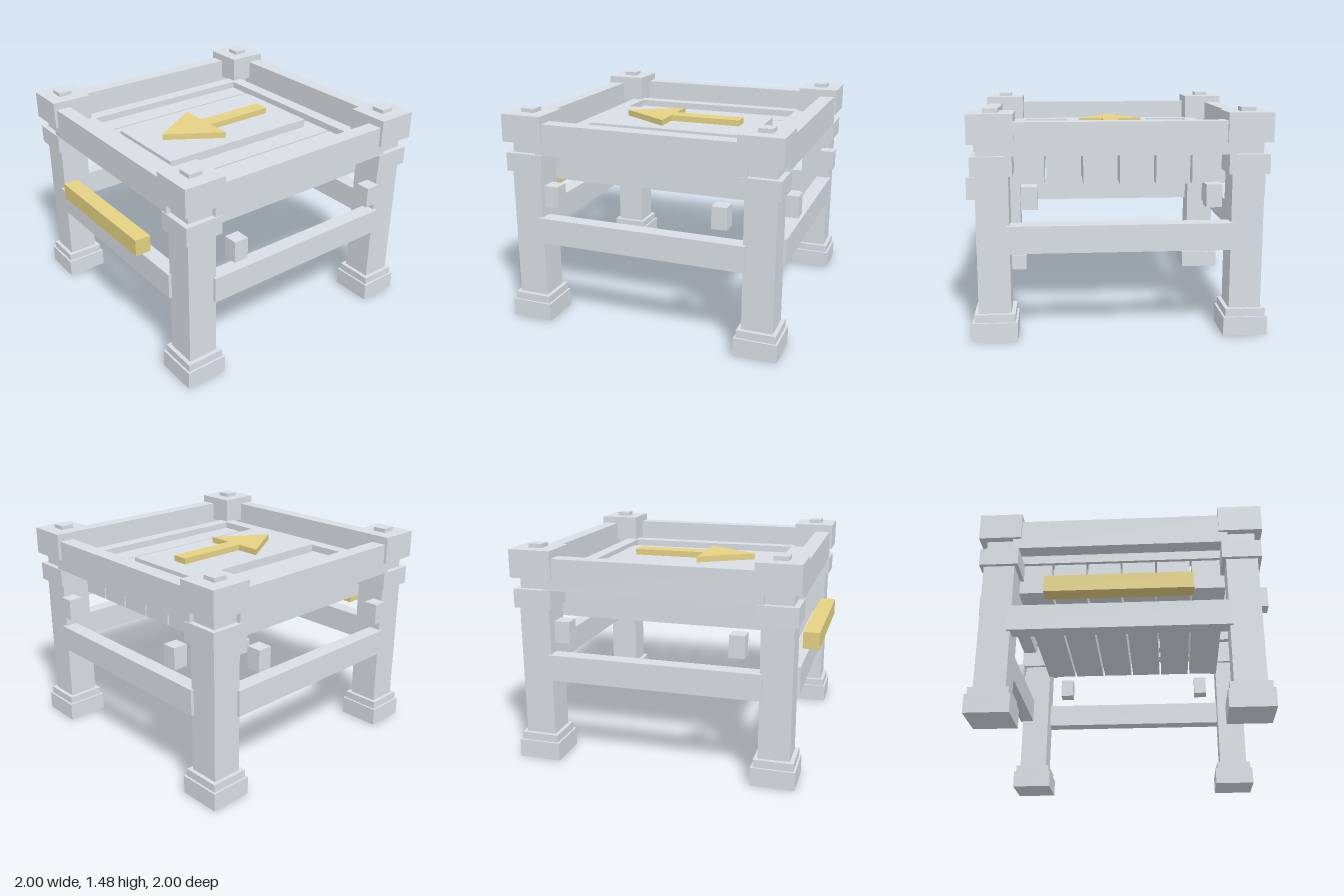
import * as THREE from 'three';

export function createModel() {
  const root = new THREE.Group();
  root.name = 'framedTable';
  const grey = new THREE.MeshStandardMaterial({ name: 'paleGrey', color: 0xd9dfe5 });
  const gold = new THREE.MeshStandardMaterial({ name: 'paleGold', color: 0xe5d283 });
  const CZ = -0.02; // depth centre of the frame
  const P = 0.81;   // post offset from the centre

  // box from its min and max on each axis
  function box(parent, name, [x0, x1], [y0, y1], [z0, z1], material = grey) {
    const mesh = new THREE.Mesh(new THREE.BoxGeometry(x1 - x0, y1 - y0, z1 - z0), material);
    mesh.position.set((x0 + x1) / 2, (y0 + y1) / 2, (z0 + z1) / 2);
    mesh.name = name;
    parent.add(mesh);
  }

  function group(name, z = CZ) {
    const g = new THREE.Group();
    g.name = name;
    g.position.z = z;
    root.add(g);
    return g;
  }

  // corner posts: name, width, bottom, top
  const postParts = [
    ['foot', 0.29, 0, 0.125],
    ['footStep', 0.262, 0.125, 0.177],
    ['leg', 0.208, 0.177, 1.066],
    ['collar', 0.262, 1.066, 1.192],
    ['neck', 0.19, 1.192, 1.268],
    ['cap', 0.288, 1.268, 1.455],
    ['capKnob', 0.095, 1.455, 1.482],
  ];
  for (const sx of [-1, 1]) {
    for (const sz of [-1, 1]) {
      const post = group('cornerPost', CZ + sz * P);
      post.position.x = sx * P;
      for (const [name, w, y0, y1] of postParts) {
        box(post, name, [-w / 2, w / 2], [y0, y1], [-w / 2, w / 2]);
      }
    }
  }

  // upper and lower rails between the posts
  const rails = group('rails');
  const E = 0.725;
  for (const [name, y0, y1] of [['lowerRail', 0.573, 0.75], ['upperRail', 1.192, 1.403]]) {
    for (const span of [[0.83, 0.935], [-0.935, -0.83]]) {
      box(rails, name, [-E, E], [y0, y1], span);
      box(rails, name, span, [y0, y1], [-E, E]);
    }
  }

  // deck of six thick planks
  const deck = group('deck');
  for (let i = 0; i < 6; i++) {
    const x = (i - 2.5) * 0.239;
    box(deck, 'plank', [x - 0.112, x + 0.112], [0.971, 1.23], [-0.71, 0.71]);
  }

  // raised rim around the deck
  for (const span of [[0.643, 0.737], [-0.737, -0.643]]) {
    box(deck, 'rimSide', span, [1.19, 1.277], [-0.737, 0.737]);
    box(deck, 'rimEnd', [-0.643, 0.643], [1.19, 1.277], span);
  }

  // centre panel and arrow pointing to the front
  box(root, 'centrePanel', [-0.315, 0.315], [1.23, 1.288], [-0.572, 0.607]);
  const shape = new THREE.Shape([
    [-0.056, 0.423], [-0.056, -0.09], [-0.232, -0.09], [0, -0.46],
    [0.232, -0.09], [0.056, -0.09], [0.056, 0.423],
  ].map(([x, y]) => new THREE.Vector2(x, y)));
  const arrowGeometry = new THREE.ExtrudeGeometry(shape, { depth: 0.042, bevelEnabled: false });
  arrowGeometry.rotateX(-Math.PI / 2);
  const arrow = new THREE.Mesh(arrowGeometry, gold);
  arrow.name = 'arrow';
  arrow.position.y = 1.288;
  root.add(arrow);

  // front bar
  box(root, 'frontBar', [-0.485, 0.485], [0.8, 0.915], [0.89, 1.0], gold);

  // small blocks on both sides and the back
  const by = [0.865, 1.01];
  for (const s of [-1, 1]) {
    const out = s > 0 ? [0.9, 1.0] : [-1.0, -0.9];
    for (const z of [0.557, -0.597]) box(root, 'sideBlock', out, by, [z - 0.05, z + 0.05]);
    box(root, 'backBlock', [s * 0.578 - 0.05, s * 0.578 + 0.05], by, [-1.0, -0.9]);
  }
  return root;
}
